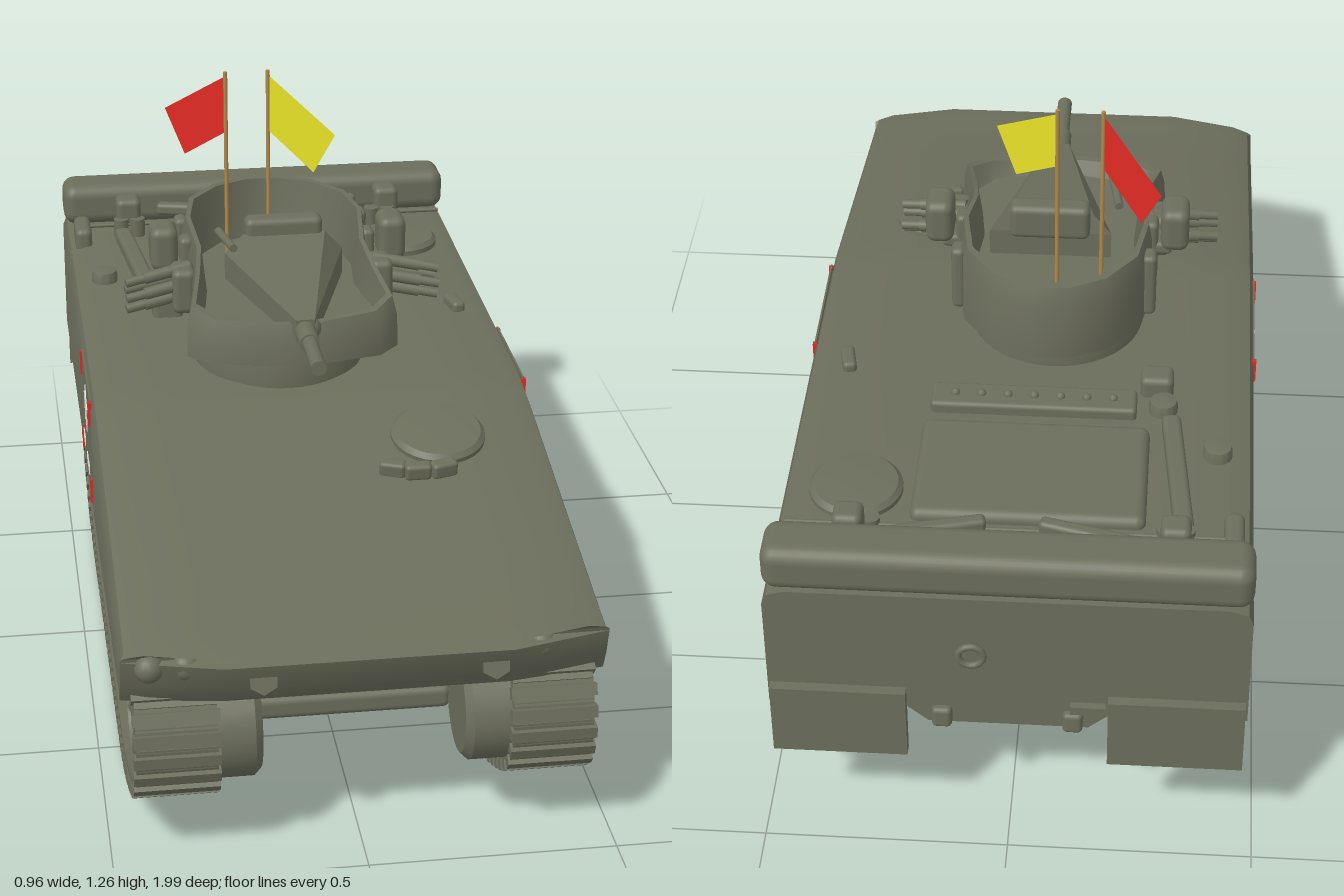
import * as THREE from 'three';
import { mergeGeometries, toCreasedNormals } from 'three/addons/utils/BufferGeometryUtils.js';
import { RoundedBoxGeometry } from 'three/addons/geometries/RoundedBoxGeometry.js';
import { ConvexGeometry } from 'three/addons/geometries/ConvexGeometry.js';

const paint = (name, color, side = THREE.FrontSide) => {
  const m = new THREE.MeshStandardMaterial({ color, side });
  m.name = name;
  return m;
};

// Skin closed rings of [x, y, z] points and cap both ends; faces are turned outward.
function loft(rings, crease = 0.6) {
  const n = rings[0].length, pos = rings.flat(2), idx = [];
  const tri = (a, b, c) => idx.push([a, b, c]);
  for (let r = 0; r < rings.length - 1; r++)
    for (let i = 0; i < n; i++) {
      const j = (i + 1) % n, a = r * n, b = a + n;
      tri(a + i, a + j, b + j);
      tri(a + i, b + j, b + i);
    }
  [0, rings.length - 1].forEach((r) => {
    const c = pos.length / 3;
    for (let k = 0; k < 3; k++) pos.push(rings[r].reduce((s, p) => s + p[k], 0) / n);
    for (let i = 0; i < n; i++) {
      const a = r * n + i, b = r * n + (i + 1) % n;
      r ? tri(a, b, c) : tri(b, a, c);
    }
  });
  const v = (i) => new THREE.Vector3().fromArray(pos, i * 3);
  const volume = idx.reduce((s, [a, b, c]) => s + v(a).dot(v(b).cross(v(c))), 0);
  if (volume < 0) idx.forEach((t) => t.reverse());
  const g = new THREE.BufferGeometry();
  g.setAttribute('position', new THREE.Float32BufferAttribute(pos, 3));
  g.setIndex(idx.flat());
  return toCreasedNormals(g, crease);
}

const mirrorRing = (half) => [...half, ...half.slice().reverse().map(([x, y, z]) => [-x, y, z])];
const lathe = (pts, seg = 28) =>
  toCreasedNormals(new THREE.LatheGeometry(pts.map((p) => new THREE.Vector2(...p)), seg), 0.6);

export function createModel() {
  const olive = paint('olive', 0x6c6e5c), white = paint('markingGrey', 0xe2e4e2);
  const red = paint('signalRed', 0xe02a24, THREE.DoubleSide);
  const yellow = paint('signalYellow', 0xeae428, THREE.DoubleSide);
  const brown = paint('poleBrown', 0xb08a4c);
  const model = new THREE.Group();
  model.name = 'trackedVehicle';

  const group = (name) => {
    const g = new THREE.Group();
    g.name = name;
    model.add(g);
    return g;
  };
  const add = (parent, name, geo, p = [0, 0, 0], rot = [0, 0, 0], mat = olive) => {
    const m = new THREE.Mesh(geo, mat);
    m.name = name;
    m.position.set(...p);
    m.rotation.set(...rot);
    parent.add(m);
    return m;
  };
  const box = (x, y, z) => new THREE.BoxGeometry(x, y, z);
  const soft = (x, y, z, r = 0.015) => new RoundedBoxGeometry(x, y, z, 3, r);
  const cyl = (r, h, n = 20) => new THREE.CylinderGeometry(r, r, h, n);
  const rod = (parent, name, a, b, r, mat = olive, n = 12) => {
    const A = new THREE.Vector3(...a), d = new THREE.Vector3(...b).sub(A);
    const m = add(parent, name, cyl(r, d.length(), n), A.clone().addScaledVector(d, 0.5).toArray(), [0, 0, 0], mat);
    m.quaternion.setFromUnitVectors(new THREE.Vector3(0, 1, 0), d.normalize());
  };

  // Hull: stations are z, bottom, top, and how far the corners sweep back
  const hull = group('hull');
  const stations = [[-0.97, 0.36, 0.655, 0], [0.1, 0.36, 0.645, 0], [0.2, 0.36, 0.632, 0], [0.75, 0.36, 0.522, 0],
    [0.9, 0.36, 0.496, 0.02], [0.945, 0.36, 0.49, 0.03], [0.98, 0.405, 0.485, 0.045], [1, 0.462, 0.481, 0.05]];
  add(hull, 'upperHull', loft(stations.map(([z, yb, yt, k]) => mirrorRing(
    [[0.28, yb], [0.475, yb], [0.475, Math.max(yb + 0.005, yt - 0.035)], [0.466, Math.max(yb + 0.01, yt - 0.011)], [0.43, yt], [0.28, yt]]
      .map(([x, y]) => [x, y, z - k * Math.max(0, x - 0.28) / 0.195]))), 0.75));
  add(hull, 'lowerHull', loft([[-0.95, 0.3], [-0.8, 0.195], [0.68, 0.195], [0.9, 0.34]].map(([z, y]) =>
    mirrorRing([[0.16, y, z], [0.205, Math.min(0.36, y + 0.04), z], [0.22, 0.37, z], [0.1, 0.37, z]])), 0.3));
  add(hull, 'rearBustle', soft(0.95, 0.1, 0.115, 0.03), [0, 0.705, -0.917]);
  add(hull, 'towEye', new THREE.TorusGeometry(0.025, 0.007, 8, 16), [0.07, 0.51, -0.975]);
  add(hull, 'rearLatch', box(0.07, 0.02, 0.02), [-0.16, 0.38, -0.975]);
  add(hull, 'frontAxleBar', soft(0.41, 0.05, 0.07), [0, 0.215, 0.72]);
  rod(hull, 'rearAxle', [-0.3, 0.262, -0.81], [0.3, 0.262, -0.81], 0.035);
  for (const s of [-1, 1]) {
    add(hull, 'rearMudPlate', box(0.27, 0.17, 0.025), [s * 0.335, 0.325, -0.978]);
    add(hull, 'bustleHandle', soft(0.2, 0.03, 0.03, 0.01), [s * 0.15, 0.7, -0.82], [0, s * 0.25, 0]);
    add(hull, 'bustleClamp', soft(0.06, 0.065, 0.06), [s * 0.32, 0.71, -0.82]);
    add(hull, 'rearHook', soft(0.04, 0.05, 0.03, 0.01), [s * 0.13, 0.34, -0.97]);
  }

  // Nose lamps and tow bosses
  for (const x of [-0.42, -0.35, 0.34])
    add(hull, 'headlamp', new THREE.SphereGeometry(0.029, 18, 12), [x, 0.447, 0.95]);
  for (const x of [-0.205, 0.245])
    add(hull, 'towBoss', cyl(0.03, 0.04, 6), [x, 0.422, 0.972], [1.3, 0, 0]);

  // Deck fittings
  const deck = group('deckFittings');
  add(deck, 'cargoHatch', soft(0.47, 0.05, 0.3, 0.02), [-0.025, 0.652, -0.6]);
  add(deck, 'ventPanel', soft(0.43, 0.035, 0.075, 0.01), [-0.015, 0.658, -0.37]);
  for (let i = 0; i < 7; i++) add(deck, 'ventBolt', new THREE.SphereGeometry(0.01, 10, 6), [-0.18 + i * 0.055, 0.676, -0.37]);
  const lid = (r) => lathe([[r, -0.02], [r, 0.008], [r * 0.9, 0.018], [0, 0.024]]);
  add(deck, 'crewHatch', lid(0.095), [0.325, 0.655, -0.66]);
  add(deck, 'driverHatch', lid(0.1), [0.245, 0.606, 0.34], [0.2, 0, 0]);
  add(deck, 'deckCap', lid(0.03), [-0.4, 0.658, -0.51]);
  add(deck, 'deckCap', lid(0.03), [-0.285, 0.658, -0.37]);
  [[0.13, 0.455, 0.3], [0.18, 0.472, 0], [0.235, 0.468, -0.25]].forEach(([x, z, a]) =>
    add(deck, 'driverPeriscope', soft(0.055, 0.035, 0.03, 0.008), [x, 0.592, z], [0.15, -a, 0]));
  add(deck, 'toolBar', soft(0.04, 0.04, 0.36, 0.012), [-0.32, 0.662, -0.595], [0, 0.1, 0]);
  add(deck, 'stowageBox', soft(0.07, 0.06, 0.06), [-0.27, 0.665, -0.3]);
  add(deck, 'cornerBox', soft(0.04, 0.06, 0.11), [-0.435, 0.665, -0.78]);
  add(deck, 'sideLatch', soft(0.03, 0.03, 0.07, 0.01), [0.39, 0.655, -0.25], [0, 0.2, 0]);
  rod(deck, 'deckRail', [-0.45, 0.68, -0.795], [0.45, 0.68, -0.795], 0.005);
  for (const x of [-0.34, -0.3, 0.28, 0.32]) add(deck, 'deckKnob', cyl(0.018, 0.05, 12), [x, 0.672, -0.79]);

  // Side panels with star and corner marks
  const star = new THREE.Shape(Array.from({ length: 10 }, (_, i) => {
    const r = i % 2 ? 0.03 : 0.055, a = Math.PI / 2 + i * Math.PI / 5;
    return new THREE.Vector2(r * Math.cos(a), r * Math.sin(a));
  }));
  const starGeo = new THREE.ExtrudeGeometry(star, { depth: 0.003, bevelEnabled: false });
  const marks = group('sideMarkings');
  for (const s of [-1, 1]) {
    add(marks, 'sidePanel', box(0.004, 0.25, 0.28), [s * 0.4745, 0.505, -0.02]);
    add(marks, 'star', starGeo, [s * 0.4755, 0.548, -0.025], [0, s * Math.PI / 2, 0], white);
    for (const [z, w] of [[0.036, 0.034], [-0.006, 0.034], [-0.108, 0.024], [-0.136, 0.02]])
      add(marks, 'paintDash', box(0.004, 0.022, w), [s * 0.4765, 0.43, z], [0, 0, 0], white);
    for (const z of [0.12, -0.16]) for (const y of [0.598, 0.415])
      add(marks, 'cornerMark', box(0.009, 0.055, 0.01), [s * 0.476, y, z], [0, 0, 0], red);
  }

  // Running gear
  const wheelGeo = lathe([[0, -0.065], [0.09, -0.065], [0.106, -0.06], [0.106, -0.018], [0.07, -0.015], [0.07, 0.015],
    [0.106, 0.018], [0.106, 0.062], [0.088, 0.066], [0.08, 0.045], [0.04, 0.04], [0.032, 0.06], [0.014, 0.064], [0, 0.07]]);
  const idlerGeo = lathe([[0, -0.115], [0.1, -0.115], [0.115, -0.1], [0.115, 0.09], [0.1, 0.1], [0.085, 0.09], [0, 0.1]]);
  const sprocketGeo = mergeGeometries([
    lathe([[0, -0.09], [0.075, -0.09], [0.09, -0.07], [0.09, 0.055], [0.08, 0.07], [0.068, 0.07], [0.06, 0.035], [0.035, 0.035], [0.028, 0.07], [0, 0.075]]),
    ...Array.from({ length: 14 }, (_, i) => box(0.03, 0.025, 0.02).toNonIndexed().translate(0.092, 0.045, 0).rotateY(i * Math.PI / 7)),
    ...Array.from({ length: 6 }, (_, i) => box(0.05, 0.03, 0.014).toNonIndexed().translate(0.045, 0.05, 0).rotateY(i * Math.PI / 3))]);
  // Track runs from inside the hull round the front, along the ground and up at the rear
  const path = new THREE.CatmullRomCurve3([[0.84, 0.385], [0.92, 0.355], [0.955, 0.26], [0.925, 0.175], [0.8, 0.1], [0.61, 0.035],
    [0.5, 0.022], [0, 0.022], [-0.45, 0.022], [-0.6, 0.05], [-0.75, 0.13], [-0.88, 0.2], [-0.915, 0.27], [-0.885, 0.345], [-0.82, 0.38]]
    .map(([z, y]) => new THREE.Vector3(0, y, z)), false, 'centripetal');
  const N = 60, links = [];
  for (let i = 0; i <= N; i++) {
    const p = path.getPointAt(i / N), t = path.getTangentAt(i / N), a = -Math.atan2(t.y, t.z);
    const put = (g) => links.push(g.rotateX(a).translate(0, p.y, p.z));
    put(box(0.16, 0.024, 0.05));
    put(box(0.17, 0.022, 0.024).translate(0, 0.011, 0));
    put(box(0.025, 0.03, 0.02).translate(0, -0.018, 0));
  }
  const trackGeo = mergeGeometries(links);
  for (const s of [-1, 1]) {
    const gear = group(s > 0 ? 'leftRunningGear' : 'rightRunningGear');
    const turn = [0, 0, -s * Math.PI / 2];
    add(gear, 'track', trackGeo, [s * 0.37, 0, 0]);
    add(gear, 'idler', idlerGeo, [s * 0.315, 0.255, 0.838], turn);
    add(gear, 'sprocket', sprocketGeo, [s * 0.36, 0.262, -0.81], turn);
    [0.567, 0.342, 0.128, -0.09, -0.31, -0.53].forEach((z, i) => {
      add(gear, 'roadWheel', wheelGeo, [s * 0.37, 0.134, z], turn);
      rod(gear, 'axle', [s * 0.17, 0.22, z - 0.08], [s * 0.31, 0.134, z], 0.022);
      if (i === 2) return;
      const k = i === 3 ? 0.06 : 0.13;
      rod(gear, 'damper', [s * 0.28, 0.15, z - 0.02], [s * 0.28, 0.29, z - k], 0.016);
      add(gear, 'damperEnd', cyl(0.023, 0.08, 14), [s * 0.265, 0.29, z - k], turn);
    });
    add(gear, 'bumpStop', soft(0.08, 0.07, 0.09), [s * 0.25, 0.315, 0.55]);
  }

  // Turret: ring, open-topped shell and gun
  const cx = -0.045, turret = group('turret');
  turret.position.x = cx;
  add(turret, 'turretRing', lathe([[0.185, 0.63], [0.19, 0.7], [0.185, 0.715], [0.16, 0.73], [0.16, 0.76], [0, 0.76]], 40), [0, 0, -0.05]);
  const outline = [[0.04, 0.285], [0.18, 0.255], [0.225, 0.205], [0.205, 0.1], [0.192, 0], [0.205, -0.13], [0.185, -0.25], [0.12, -0.335], [0.04, -0.375]];
  const rim = (z) => (z > 0 ? 0.925 - z * 0.27 : Math.min(0.95, 0.925 - z * 0.2));
  const ring = (k, y) => mirrorRing(outline.map(([x, z]) => [x * k, y(z), (z + 0.03) * k - 0.03]));
  add(turret, 'turretShell', loft([ring(0.84, () => 0.745), ring(1, (z) => 0.76 + Math.max(0, -z) * 0.06),
    ring(0.99, (z) => rim(z) - 0.04), ring(0.95, rim), ring(0.9, rim), ring(0.84, () => 0.82)], 0.7));
  add(turret, 'mantlet', new ConvexGeometry([[0.13, 0.82, -0.07], [0.13, 0.88, -0.07], [0.09, 0.925, -0.06], [0.02, 0.865, 0.29], [0.02, 0.815, 0.29]]
    .flatMap(([x, y, z]) => [-1, 1].map((s) => new THREE.Vector3(x * s, y, z)))), [0.015, 0, 0]);
  add(turret, 'gunHousing', soft(0.17, 0.08, 0.05), [0.015, 0.92, -0.075]);
  rod(turret, 'gunSleeve', [0.015, 0.84, 0.2], [0.015, 0.84, 0.36], 0.022, olive, 18);
  rod(turret, 'gunBarrel', [0.015, 0.843, 0.3], [0.015, 0.843, 0.49], 0.016, olive, 16);
  add(turret, 'sightBoss', new THREE.SphereGeometry(0.026, 14, 10), [0.025, 0.838, 0.27]);
  rod(turret, 'sideGun', [-0.13, 0.94, -0.05], [-0.11, 0.945, 0.07], 0.009);
  for (const s of [-1, 1]) {
    add(turret, 'sightPod', soft(0.06, 0.1, 0.085, 0.02), [s * 0.25, 0.91, -0.06]);
    add(turret, 'sightBracket', soft(0.06, 0.03, 0.06, 0.01), [s * 0.215, 0.86, -0.06]);
    for (const z of [-0.07, -0.19]) add(turret, 'wallBox', soft(0.03, 0.15, 0.045, 0.012), [s * 0.2, 0.85, z]);
    add(turret, 'launcherMount', soft(0.05, 0.1, 0.08), [s * 0.215, 0.84, 0.015]);
    for (const [y, z] of [[0.81, 0.03], [0.84, 0.045], [0.87, 0.03], [0.84, -0.005]]) {
      rod(turret, 'smokeLauncher', [s * 0.2, y + 0.015, z - 0.02], [s * 0.3, y, z], 0.013);
      rod(turret, 'launcherTip', [s * 0.3, y, z], [s * 0.34, y - 0.006, z + 0.008], 0.01);
    }
  }

  // Signal flags hanging from two poles
  const flags = group('signalFlags');
  const flag = (x, s, mat, name) => {
    rod(flags, 'flagPole', [x, 0.82, -0.175], [x, 1.26, -0.175], 0.0045, brown, 8);
    const shape = new THREE.Shape([[0, 1.25], [0.173, 1.143], [0.118, 1.047], [0, 1.123]].map((p) => new THREE.Vector2(...p)));
    add(flags, name, new THREE.ShapeGeometry(shape), [x, 0, -0.175], [0, s > 0 ? -0.7 : Math.PI - 0.78, 0], mat);
  };
  flag(-0.143, -1, red, 'redFlag');
  flag(-0.05, 1, yellow, 'yellowFlag');
  return model;
}
